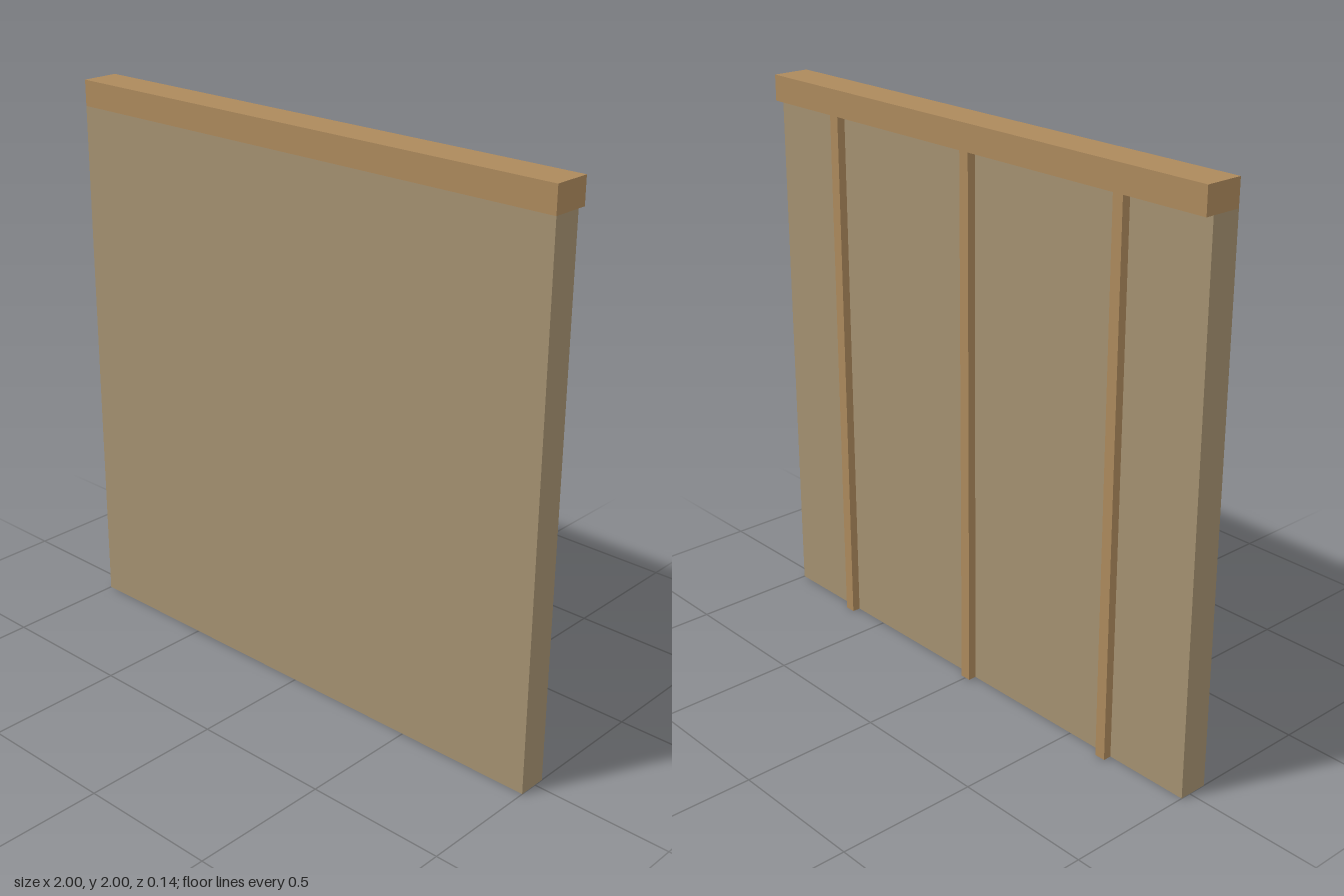
import * as THREE from 'three';

export function createModel() {
  const model = new THREE.Group();
  const plaster = new THREE.MeshStandardMaterial({ color: 0xa49170 });
  plaster.name = 'plaster';
  const wood = new THREE.MeshStandardMaterial({ color: 0xac895c });
  wood.name = 'wood';

  const front = 0.068, back = -0.068, panelBack = -0.038, beamBottom = 1.908;

  // Box given by its lower and upper corners
  function box(name, material, [x0, y0, z0], [x1, y1, z1]) {
    const mesh = new THREE.Mesh(new THREE.BoxGeometry(x1 - x0, y1 - y0, z1 - z0), material);
    mesh.position.set((x0 + x1) / 2, (y0 + y1) / 2, (z0 + z1) / 2);
    mesh.name = name;
    model.add(mesh);
  }

  // Wall panel with a full-depth beam along its top
  box('wallPanel', plaster, [-1, 0, panelBack], [1, beamBottom, front]);
  box('topBeam', wood, [-1, beamBottom, back], [1, 2, front]);

  // Three upright battens on the back
  for (const x of [-0.667, 0, 0.667]) {
    box('backBatten', wood, [x - 0.02, 0, back], [x + 0.02, beamBottom, panelBack]);
  }

  return model;
}
